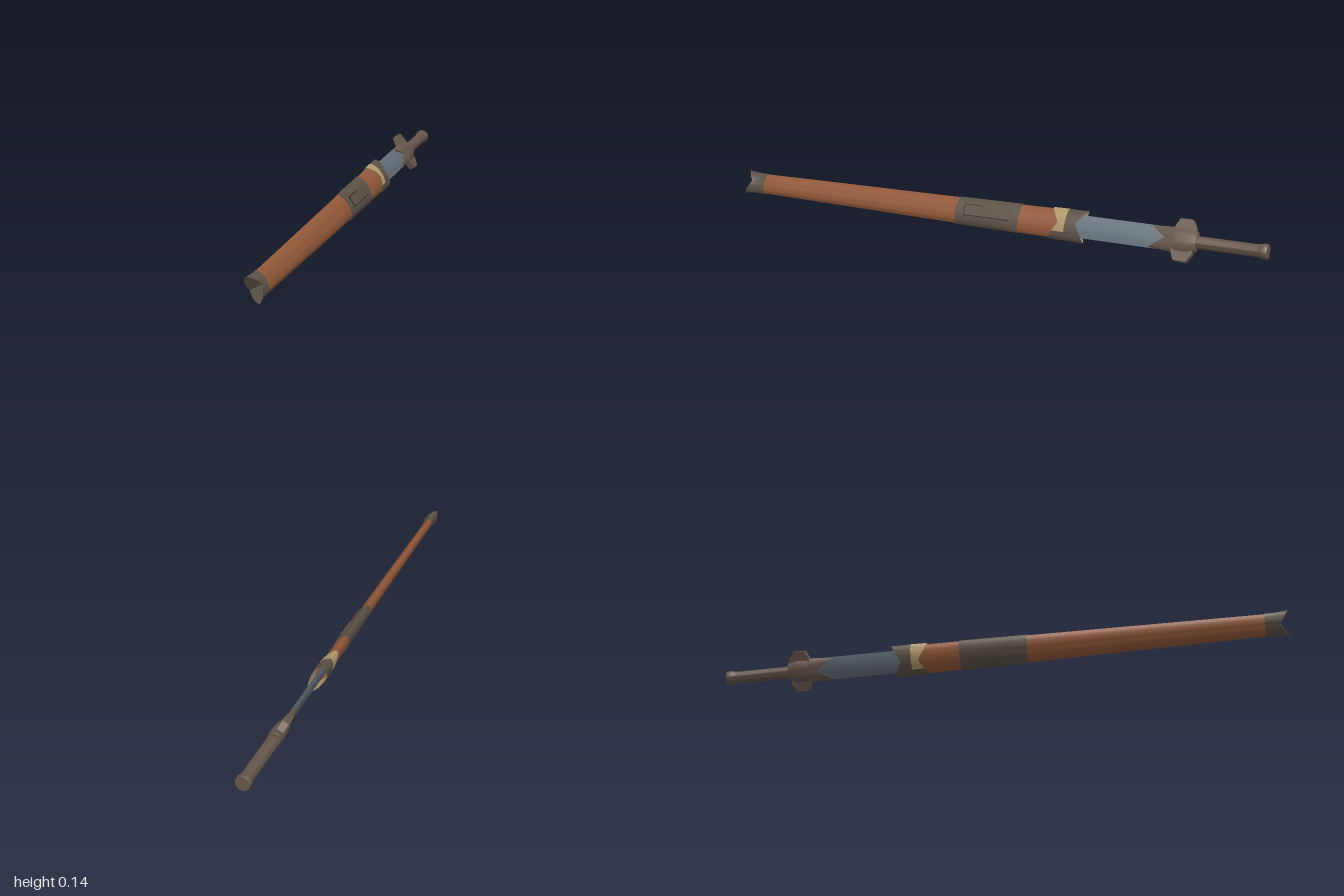
import * as THREE from 'three';
import { toCreasedNormals } from 'three/addons/utils/BufferGeometryUtils.js';

const mat = (name, color) => {
  const m = new THREE.MeshStandardMaterial({ color });
  m.name = name;
  return m;
};

// Lens-shaped tube through sections [z, halfWidth, halfThickness, notch], z ascending.
// notch shifts the middle of a section along z; skip leaves out segments around the lower edge.
function loft(sections, { n = 32, skip = 0, caps = true } = {}) {
  const pos = [], index = [];
  for (const [z, a, b, notch = 0] of sections) {
    for (let i = 0; i <= n; i++) {
      const t = -Math.PI / 2 + (i / n) * Math.PI * 2;
      const c = Math.cos(t), s = Math.sin(t);
      pos.push(b * Math.sign(c) * Math.pow(Math.abs(c), 1.35), a * s, z + notch * (1 - Math.abs(s)));
    }
  }
  const w = n + 1, last = (sections.length - 1) * w;
  for (let j = 0; j < sections.length - 1; j++) {
    for (let i = skip; i < n - skip; i++) {
      const p = j * w + i;
      index.push(p, p + 1, p + 1 + w, p, p + 1 + w, p + w);
    }
  }
  if (caps) {
    for (let i = 0; i < n / 2; i++) {
      const r = i, r2 = i + 1, l = n - i, l2 = n - i - 1;
      index.push(last + r, last + r2, last + l2, last + r, last + l2, last + l);
      index.push(r, l2, r2, r, l, l2);
    }
  }
  const g = new THREE.BufferGeometry();
  g.setAttribute('position', new THREE.Float32BufferAttribute(pos, 3));
  g.setIndex(index);
  return toCreasedNormals(g, 0.6);
}

export function createModel() {
  const leather = mat('brown leather', 0x925839);
  const fitting = mat('dark bronze', 0x5b5146);
  const hilt = mat('hilt bronze', 0x65564b);
  const steel = mat('blue steel', 0x636f78);
  const tan = mat('tan lining', 0xb0986c);
  tan.side = THREE.DoubleSide;
  const shade = mat('dark groove', 0x352e28);

  const model = new THREE.Group();
  const sword = new THREE.Group();
  sword.name = 'sheathedSword';
  sword.rotation.z = Math.PI / 6;
  sword.position.y = 0.067;
  model.add(sword);
  const add = (name, geo, material) => {
    const m = new THREE.Mesh(geo, material);
    m.name = name;
    sword.add(m);
    return m;
  };

  // Scabbard
  add('scabbardBody', loft([[-0.3, 0.052, 0.021], [0, 0.0485, 0.0195], [0.94, 0.037, 0.015]]), leather);
  add('scabbardTip', loft([
    [0.922, 0.039, 0.0165], [0.95, 0.039, 0.017], [0.98, 0.041, 0.0195, -0.012], [1, 0.0435, 0.022, -0.03],
  ]), fitting);
  add('scabbardBand', loft([[-0.13, 0.0525, 0.0225], [0.11, 0.0495, 0.021]]), fitting);

  // Belt slide on the band, with a groove line around three sides
  const slide = add('beltSlide', new THREE.BoxGeometry(0.008, 0.04, 0.172), fitting);
  slide.position.set(0.0195, 0.001, -0.01);
  const groove = (name, y, z, h, d) => {
    add(name, new THREE.BoxGeometry(0.004, h, d), shade).position.set(0.0218, y, z);
  };
  groove('slideGrooveLower', -0.018, -0.01, 0.003, 0.174);
  groove('slideGrooveUpper', 0.02, 0.04, 0.003, 0.074);
  groove('slideGrooveEnd', 0.001, 0.076, 0.04, 0.003);

  // Mouth sleeve, notched at both ends, lined in tan
  add('mouthSleeve', loft([
    [-0.376, 0.0565, 0.0255, 0.033], [-0.31, 0.056, 0.025], [-0.245, 0.055, 0.024, -0.035],
  ], { caps: false }), fitting);
  add('mouthLining', loft([
    [-0.375, 0.0553, 0.0243, 0.033], [-0.31, 0.0548, 0.0238], [-0.29, 0.0545, 0.0236],
  ], { caps: false }), tan);
  add('mouthStripe', loft([
    [-0.305, 0.0568, 0.0258], [-0.245, 0.0558, 0.0248, -0.035],
  ], { skip: 5, caps: false }), tan);

  // Blade with a central ridge
  add('blade', loft([[-0.69, 0.04, 0.011], [-0.2, 0.04, 0.011]], { n: 4 }), steel);

  // Guard: forked collar, centre block and two wings
  add('guardCollar', loft([
    [-0.7, 0.044, 0.021], [-0.65, 0.041, 0.018, -0.03], [-0.602, 0.038, 0.013, -0.055],
  ]), hilt);
  add('guardBlock', loft([[-0.765, 0.034, 0.022], [-0.735, 0.046, 0.025], [-0.69, 0.045, 0.023]]), hilt);
  for (const s of [1, -1]) {
    const outline = [[0.675, 0], [0.685, 0.045], [0.697, 0.071], [0.74, 0.072], [0.757, 0.045], [0.757, 0]]
      .map(([z, y]) => new THREE.Vector2(z, y * s));
    const wing = new THREE.ExtrudeGeometry(new THREE.Shape(outline), { depth: 0.022, bevelEnabled: false });
    wing.translate(0, 0, -0.011).rotateY(Math.PI / 2);
    add(s > 0 ? 'guardWingUpper' : 'guardWingLower', wing, hilt);
  }

  // Grip with flared pommel
  const profile = [[0, 0.74], [0.022, 0.74], [0.021, 0.78], [0.021, 0.96], [0.0225, 0.975],
    [0.0255, 0.983], [0.0255, 0.997], [0.024, 1], [0, 1]].map(([r, y]) => new THREE.Vector2(r, y));
  const grip = toCreasedNormals(new THREE.LatheGeometry(profile, 24).rotateX(-Math.PI / 2), 0.6);
  add('grip', grip, hilt);

  return model;
}
